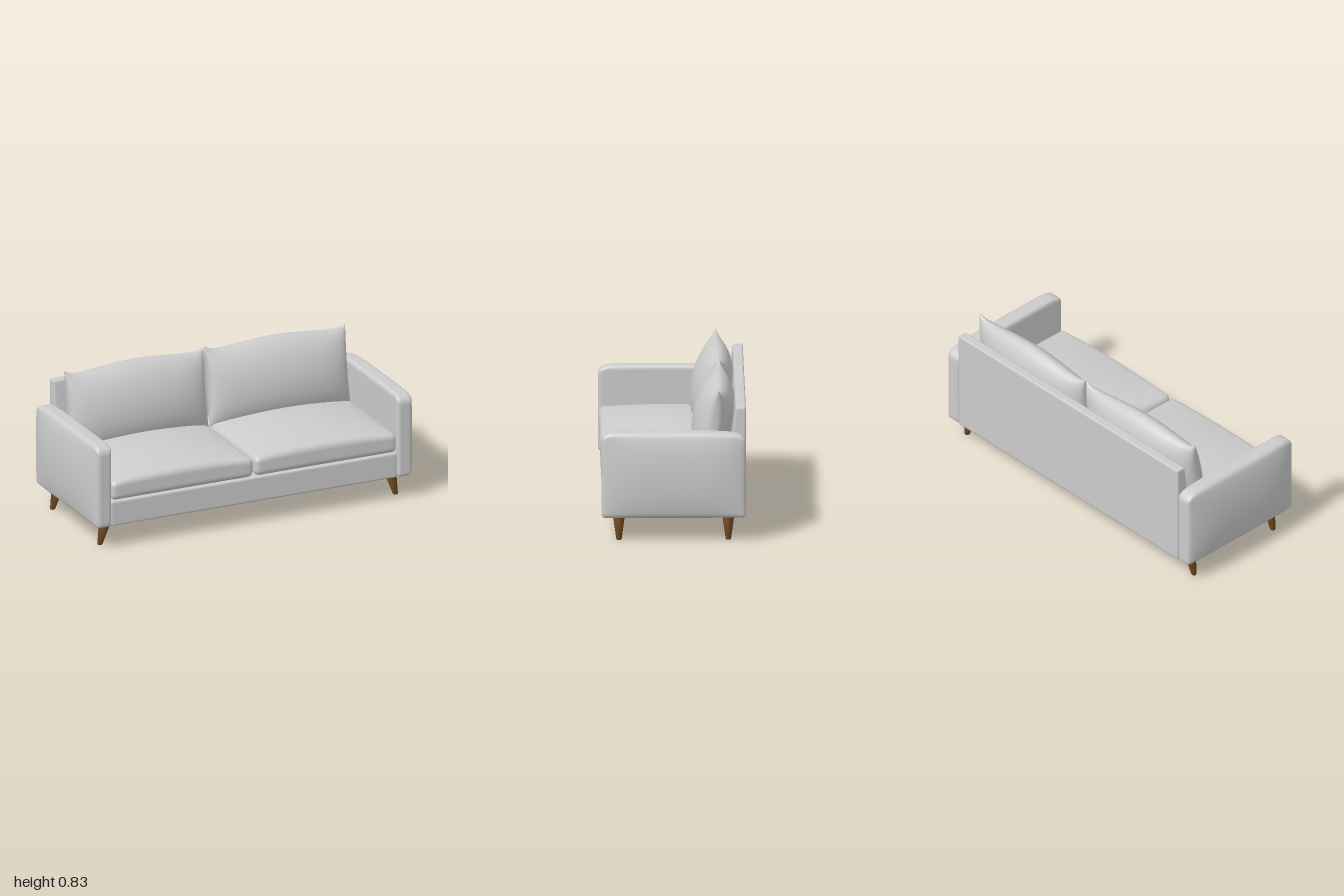
import * as THREE from 'three';
import { mergeVertices, mergeGeometries } from 'three/addons/utils/BufferGeometryUtils.js';

const fabric = new THREE.MeshStandardMaterial({ color: 0xcccccc });
const wood = new THREE.MeshStandardMaterial({ color: 0x6b4820 });

// Packs grid points towards the edges, where the surfaces curve most.
const pack = (t) => Math.sign(t) * (1 - (1 - Math.abs(t)) ** 2);

// Moves every vertex by a rule, then welds and smooths the surface.
function reshape(geometry, rule) {
  geometry.deleteAttribute('uv');
  geometry.deleteAttribute('normal');
  const pos = geometry.attributes.position;
  const p = new THREE.Vector3();
  for (let i = 0; i < pos.count; i++) {
    p.fromBufferAttribute(pos, i);
    rule(p);
    pos.setXYZ(i, p.x, p.y, p.z);
  }
  const welded = mergeVertices(geometry, 1e-5);
  welded.computeVertexNormals();
  return welded;
}

// Rounded box between two corners; bend(p, u) may move points, u being -1..1 on each axis.
function softBox(name, min, max, radius, bend = () => {}) {
  const lo = new THREE.Vector3(...min);
  const hi = new THREE.Vector3(...max);
  const half = hi.clone().sub(lo).multiplyScalar(0.5);
  const centre = lo.clone().add(hi).multiplyScalar(0.5);
  const inner = half.clone().subScalar(radius);
  const geometry = reshape(new THREE.BoxGeometry(2, 2, 2, 28, 28, 28), (p) => {
    p.set(pack(p.x), pack(p.y), pack(p.z)).multiply(half);
    const core = p.clone().clamp(inner.clone().negate(), inner);
    p.sub(core).setLength(radius).add(core);
    const u = p.clone().divide(half);
    p.add(centre);
    bend(p, u);
  });
  const mesh = new THREE.Mesh(geometry, fabric);
  mesh.name = name;
  return mesh;
}

// Arm with an outward-bulging side and a top that drops a little at the back.
function makeArm(name, side) {
  return softBox(name, [-0.045, 0.13, -0.402], [0.045, 0.615, 0.4], 0.022, (p, u) => {
    const outer = (side * u.x + 1) / 2;
    p.x += side * outer * 0.036 * (1 - u.y ** 2) ** 0.7 * (1 - u.z ** 4);
    const top = Math.max(0, (u.y + 1) / 2) ** 4;
    p.y -= top * (0.02 * Math.max(0, -u.z - 0.45) + 0.035 * Math.abs(u.z) ** 16);
    p.x += side * 0.922;
  });
}

// Seat cushion with a crowned top.
function makeSeat(name, side) {
  const x = side * 0.4405;
  return softBox(name, [x - 0.435, 0.28, -0.345], [x + 0.435, 0.388, 0.397], 0.03, (p, u) => {
    const crown = (1 - u.x ** 2) ** 0.8 * (0.3 + 0.7 * (1 - u.z ** 2));
    p.y += 0.064 * crown * (u.y + 1) / 2;
  });
}

// Back pillow: two swollen sheets meeting at a leaning seam, with raised corners.
function makePillow(name, side) {
  const sheet = (face) => {
    const geometry = new THREE.PlaneGeometry(2, 2, 48, 40);
    if (face < 0) geometry.index.array.reverse();
    return reshape(geometry, (p) => {
      const u = pack(p.x);
      const v = pack(p.y);
      const swell = Math.max(0, 1 - u * u) ** 0.36 * Math.max(0, 1 - v * v) ** 0.55;
      const corner = Math.abs(u) ** 14 * Math.max(0, v) ** 4;
      const wave = 0.011 * Math.cos(u * Math.PI * 1.15) * Math.max(0, v) ** 2;
      p.x = side * 0.433 + u * (0.418 + 0.012 * v * v);
      p.y = 0.595 + v * 0.222 + wave + 0.022 * corner;
      p.z = -0.222 - 0.035 * v + 0.006 * side * u + face * swell * (face > 0 ? 0.113 : 0.118);
    });
  };
  const geometry = mergeGeometries([sheet(1), sheet(-1)]);
  // A thin piped edge runs around the seam.
  const mesh = new THREE.Mesh(geometry, fabric);
  mesh.name = name;
  return mesh;
}

// Tapered wooden leg, splayed outwards towards the foot.
function makeLeg(name, side, z) {
  const geometry = new THREE.LatheGeometry([
    [0, 0], [0.012, 0], [0.015, 0.004], [0.034, 0.135], [0, 0.135],
  ].map(([r, y]) => new THREE.Vector2(r, y)), 24);
  const pos = geometry.attributes.position;
  for (let i = 0; i < pos.count; i++) {
    pos.setX(i, pos.getX(i) + side * (0.908 - 0.24 * pos.getY(i)));
  }
  const mesh = new THREE.Mesh(geometry, wood);
  mesh.position.z = z;
  mesh.name = name;
  return mesh;
}

export function createModel() {
  const sofa = new THREE.Group();
  sofa.name = 'sofa';

  // Frame
  sofa.add(softBox('base', [-0.882, 0.13, -0.39], [0.882, 0.277, 0.39], 0.012));
  sofa.add(softBox('backrest', [-0.88, 0.13, -0.402], [0.88, 0.74, -0.346], 0.01, (p, u) => {
    p.z += 0.035 * (1 - u.y) * (u.z + 1) / 2;
  }));

  // Paired parts
  for (const [label, side] of [['left', 1], ['right', -1]]) {
    sofa.add(makeArm(`${label}Arm`, side));
    sofa.add(makeSeat(`${label}SeatCushion`, side));
    sofa.add(makePillow(`${label}BackPillow`, side));
    sofa.add(makeLeg(`${label}FrontLeg`, side, 0.302));
    sofa.add(makeLeg(`${label}BackLeg`, side, -0.304));
  }
  return sofa;
}
